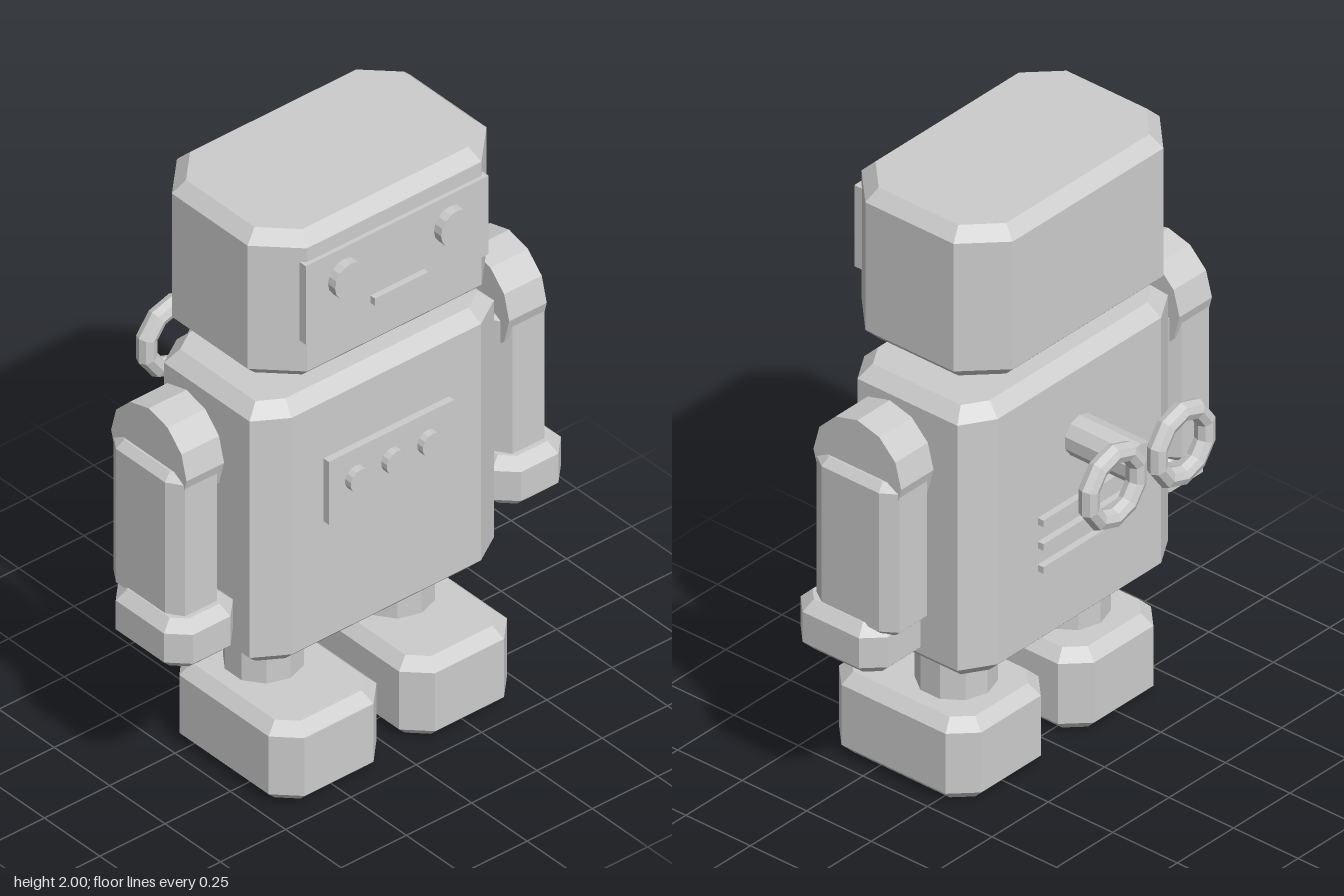
import * as THREE from 'three';

export function createModel() {
  const robot = new THREE.Group();
  robot.name = 'toyRobot';
  const grey = new THREE.MeshStandardMaterial({ color: 0xcccccc, flatShading: true });
  grey.name = 'light grey';
  const MID = 0.106; // depth of the body axis

  function add(name, geometry, x, y, z) {
    const mesh = new THREE.Mesh(geometry, grey);
    mesh.name = name;
    mesh.position.set(x, y, z);
    robot.add(mesh);
    return mesh;
  }

  // Upright block with cut vertical corners and chamfered top and bottom, centred on its origin
  function block(w, h, d, cutX, cutZ, bevel) {
    const a = w / 2, b = d / 2;
    const outline = new THREE.Shape([
      [a, -b + cutZ], [a, b - cutZ], [a - cutX, b], [-a + cutX, b],
      [-a, b - cutZ], [-a, -b + cutZ], [-a + cutX, -b], [a - cutX, -b],
    ].map(([x, y]) => new THREE.Vector2(x, y)));
    const g = new THREE.ExtrudeGeometry(outline, {
      depth: h - 2 * bevel, bevelEnabled: true, bevelSegments: 1,
      bevelSize: bevel, bevelThickness: bevel, bevelOffset: -bevel,
    });
    g.rotateX(-Math.PI / 2);
    g.center();
    return g;
  }
  const box = (w, h, d) => new THREE.BoxGeometry(w, h, d);
  const rod = (r, length, sides) => new THREE.CylinderGeometry(r, r, length, sides);

  // Head, neck and torso
  add('head', block(0.915, 0.523, 0.586, 0.123, 0.122, 0.04), 0, 1.738, 0.107);
  add('neck', rod(0.148, 0.16, 10), 0, 1.43, MID);
  add('torso', block(0.936, 0.935, 0.517, 0.105, 0.065, 0.042), 0, 0.9175, MID);

  // Face
  add('facePanel', box(0.7, 0.282, 0.034), 0, 1.769, 0.397);
  for (const side of [-1, 1]) {
    add('eye', rod(0.062, 0.05, 16).rotateX(Math.PI / 2), side * 0.203, 1.807, 0.421);
  }
  add('mouth', box(0.206, 0.026, 0.03), 0, 1.677, 0.42);

  // Chest panel with three buttons
  add('chestPanel', box(0.48, 0.226, 0.03), 0, 1.027, 0.373);
  for (const x of [-0.138, 0, 0.138]) {
    add('chestButton', rod(0.04, 0.04, 14).rotateX(Math.PI / 2), x, 1.04, 0.394);
  }

  // Arms and legs
  for (const side of [-1, 1]) {
    add('shoulder', rod(0.17, 0.144, 12).rotateZ(Math.PI / 2), side * 0.618, 1.218, MID);
    add('arm', block(0.19, 0.53, 0.322, 0.034, 0.05, 0.025), side * 0.627, 0.957, MID);
    add('hand', block(0.264, 0.172, 0.338, 0.06, 0.06, 0.034), side * 0.628, 0.641, 0.148);
    add('leg', rod(0.122, 0.24, 10), side * 0.251, 0.37, MID);
    add('foot', block(0.413, 0.28, 0.551, 0.074, 0.074, 0.036), side * 0.25, 0.14, 0.17);
  }

  // Vents on the back
  for (const y of [0.74, 0.82, 0.902]) {
    add('backVent', box(0.37, 0.023, 0.04), 0, y, -0.155);
  }

  // Wind-up key
  add('keyShaft', rod(0.067, 0.26, 10).rotateX(Math.PI / 2), 0, 1.115, -0.26);
  for (const side of [-1, 1]) {
    const ring = new THREE.TorusGeometry(0.11, 0.032, 8, 10).rotateZ(Math.PI / 10);
    add('keyRing', ring, side * 0.152, 1.12, -0.414);
  }
  return robot;
}
